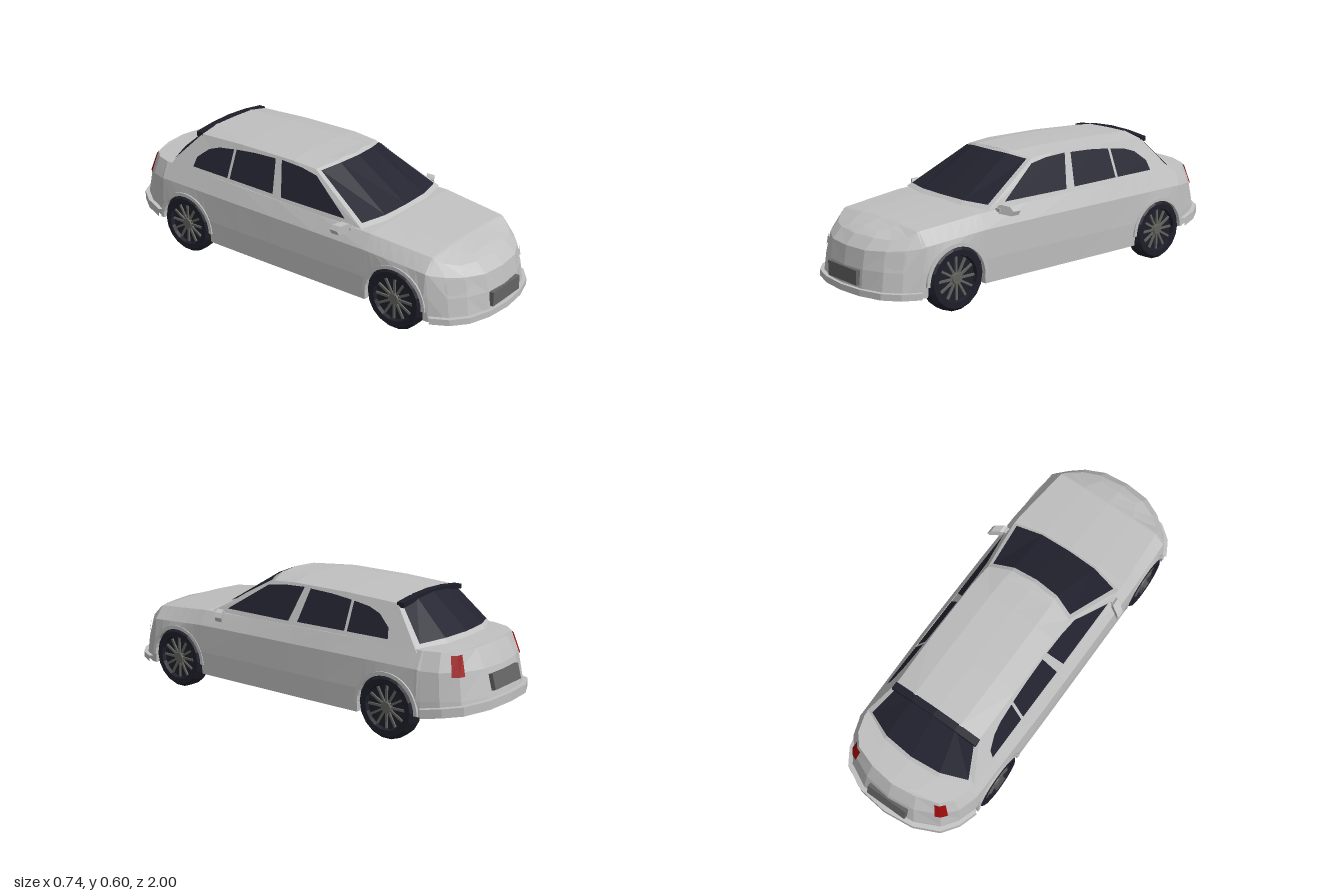
import * as THREE from 'three';

const mat = (name, color, side = THREE.FrontSide) => {
  const m = new THREE.MeshStandardMaterial({ color, side });
  m.name = name;
  return m;
};
const lerp = (a, b, t) => a.map((v, i) => v + (b[i] - v) * t);

// Interpolate rows [z, ...values] listed from front to rear
function at(table, z) {
  let i = 0;
  while (i < table.length - 2 && z < table[i + 1][0]) i++;
  const a = table[i], b = table[i + 1];
  const t = Math.min(1, Math.max(0, (a[0] - z) / (a[0] - b[0])));
  return lerp(a, b, t).slice(1);
}

// Faceted skin through columns of points (front to rear, bottom to top), mirrored across x
function skin(cols, mirror = true) {
  const pos = [];
  const tri = (a, b, c) => {
    pos.push(...a, ...b, ...c);
    if (mirror) for (const p of [a, c, b]) pos.push(-p[0], p[1], p[2]);
  };
  for (let i = 0; i < cols.length - 1; i++)
    for (let j = 0; j < cols[i].length - 1; j++) {
      const a = cols[i][j], b = cols[i + 1][j], c = cols[i + 1][j + 1], d = cols[i][j + 1];
      tri(a, b, c);
      tri(a, c, d);
    }
  const g = new THREE.BufferGeometry();
  g.setAttribute('position', new THREE.Float32BufferAttribute(pos, 3));
  g.computeVertexNormals();
  return g;
}
function faceted(geo) {
  const g = geo.index ? geo.toNonIndexed() : geo;
  g.computeVertexNormals();
  return g;
}

// Nose and tail columns: bottom, mid, belt and upper edge
const NOSE = [
  [[0, .09, .985], [0, .2, .975], [0, .28, .962], [0, .325, .92]],
  [[.12, .09, .973], [.12, .2, .964], [.12, .28, .95], [.12, .325, .905]],
  [[.22, .09, .94], [.215, .2, .925], [.21, .285, .905], [.2, .325, .87]],
  [[.285, .09, .885], [.28, .2, .87], [.27, .29, .85], [.248, .34, .825]],
  [[.325, .09, .81], [.325, .2, .80], [.315, .30, .795], [.27, .36, .79]],
];
const TAIL = [
  [[.325, .13, -.75], [.325, .2, -.75], [.32, .33, -.745], [.287, .41, -.74]],
  [[.30, .145, -.84], [.30, .21, -.83], [.295, .33, -.82], [.265, .41, -.81]],
  [[.25, .155, -.915], [.25, .21, -.905], [.24, .33, -.885], [.22, .41, -.86]],
  [[.14, .165, -.97], [.14, .215, -.96], [.13, .33, -.935], [.12, .415, -.895]],
  [[0, .17, -.987], [0, .215, -.977], [0, .33, -.95], [0, .415, -.91]],
];
// z, low x, mid x, belt x, belt y, edge x, edge y
const SIDE = [
  [.79, .328, .332, .322, .305, .272, .362],
  [.45, .33, .336, .336, .33, .298, .395],
  [-.2, .33, .336, .336, .335, .303, .41],
  [-.72, .326, .33, .325, .335, .29, .41],
];
const FLOOR = [[1, .09], [-.5, .09], [-.73, .13], [-1, .17]];
const DECK = [[.92, .325], [.87, .348], [.78, .373], [.45, .405], [-.2, .415], [-.74, .42], [-.91, .415]];
const AXLES = [.63, -.58], ARCH = .15, ARCH_Y = .135;

function sideColumn(z, yb) {
  const [xl, xm, xb, ybelt, xe, ye] = at(SIDE, z);
  return [[xl, yb, z], [xm, Math.max(.2, yb + .01), z], [xb, ybelt, z], [xe, ye, z]];
}
// Close a side column with floor, wheel-well wall and upper deck
function closeColumn(c) {
  const [x, y, z] = c[0], e = c[3];
  const xi = Math.min(x, .25), f = at(FLOOR, z)[0], top = at(DECK, e[2])[0];
  return [[0, f, z], [xi, f, z], [xi, y, z], ...c,
    [e[0] * .5, e[1] + (top - e[1]) * .75, e[2]], [0, top, e[2]]];
}
function bodyColumns() {
  const sides = [];
  for (const c of AXLES) {
    sides.push(sideColumn(c + ARCH + .002, .09));
    for (let k = 0; k <= 8; k++) {
      const a = k * Math.PI / 8;
      sides.push(sideColumn(c + ARCH * Math.cos(a), ARCH_Y + ARCH * Math.sin(a)));
    }
    const z = c - ARCH - .002;
    sides.push(sideColumn(z, at(FLOOR, z)[0]));
    if (c > 0) for (const m of [.2, -.05, -.25]) sides.push(sideColumn(m, .09));
  }
  return [...NOSE, ...sides, ...TAIL].map(closeColumn);
}

// Cabin columns: [base, top]
const CABIN = [
  [[0, .40, .47], [0, .592, .17]],
  [[.15, .40, .465], [.115, .59, .16]],
  [[.296, .40, .43], [.221, .572, .12]],
  [[.302, .40, 0], [.226, .582, 0]],
  [[.302, .40, -.3], [.226, .582, -.3]],
  [[.298, .40, -.71], [.222, .572, -.56]],
  [[.15, .41, -.775], [.115, .585, -.575]],
  [[0, .41, -.79], [0, .59, -.58]],
];
const cabinRoof = ([b, t]) => {
  const top = t[2] > .1 || t[2] < -.5 ? .594 : .6;
  return [b, t, [t[0] * .55, t[1] + (top - t[1]) * .9, t[2]], [0, top, t[2]]];
};
const cabinPatch = (cols, v0, v1, dz) => cols.map(([b, t]) =>
  [v0, v1].map(v => lerp(b, t, v)).map(([x, y, z]) => [x, y + .004, z + dz]));

// Point on the nose skin at given x and y
function nosePoint(x, y) {
  let i = 0;
  while (i < 3 && x > NOSE[i + 1][1][0]) i++;
  const a = NOSE[i], b = NOSE[i + 1], t = (x - a[1][0]) / (b[1][0] - a[1][0]);
  const z = lerp(lerp(a[1], b[1], t), lerp(a[2], b[2], t), (y - .2) / .087)[2];
  return [x + .001, y, z + .005];
}
const lipColumns = (cols, y0, y1) => cols.map(c => {
  const [x, , z] = c[0], h = c[0][1];
  const o = [x * 1.045, z * 1.013];
  return [[x * .95, h + y0, z * .97], [o[0], h + y0, o[1]], [o[0], h + y1, o[1]], [x * .95, h + y1, z * .97]];
});
const shape = pts => new THREE.Shape(pts.map(p => new THREE.Vector2(...p)));

export function createModel() {
  const car = new THREE.Group();
  car.name = 'car';
  const paint = mat('silver paint', 0xc0c0c0);
  const glass = mat('dark glass', 0x232330, THREE.DoubleSide);
  const rubber = mat('tyre rubber', 0x1e1e2a);
  const metal = mat('wheel metal', 0x62625e);
  const plate = mat('plate grey', 0x646464);
  const red = mat('tail light red', 0x9c0c0c, THREE.DoubleSide);
  const add = (name, geo, m, parent = car) => {
    const mesh = new THREE.Mesh(geo, m);
    mesh.name = name;
    parent.add(mesh);
    return mesh;
  };

  // Shell
  add('body', skin(bodyColumns()), paint);
  add('cabin', skin(CABIN.map(cabinRoof)), paint);
  add('frontLip', skin(lipColumns(NOSE, 0, .028)), paint);
  add('rearLip', skin(lipColumns(TAIL, 0, .04)), paint);

  // Windscreen and rear window
  const front = [CABIN[0], CABIN[1], CABIN[1].map((p, i) => lerp(p, CABIN[2][i], .88))];
  add('windscreen', skin(cabinPatch(front, .07, .95, .004)), glass);
  const rear = [CABIN[6].map((p, i) => lerp(p, CABIN[5][i], .84)), CABIN[6], CABIN[7]];
  add('rearWindow', skin(cabinPatch(rear, .13, .98, -.004)), glass);

  // Side windows as (z, y) outlines laid on the leaning cabin sides
  const windows = {
    frontWindow: [[.34, .422], [.14, .553], [.05, .567], [-.065, .572], [-.02, .422]],
    rearDoorWindow: [[-.07, .425], [-.10, .57], [-.22, .566], [-.33, .556], [-.33, .428]],
    quarterWindow: [[-.345, .428], [-.345, .554], [-.43, .543], [-.49, .523], [-.55, .475], [-.56, .43]],
  };
  for (const [name, pts] of Object.entries(windows))
    for (const s of [1, -1]) {
      const g = new THREE.ShapeGeometry(shape(pts)), p = g.attributes.position;
      for (let i = 0; i < p.count; i++) {
        const z = p.getX(i), y = p.getY(i);
        p.setXYZ(i, s * (.305 - (y - .40) * .42), y, z);
      }
      add(name, faceted(g), glass);
    }

  // Dark lip along the rear of the roof
  const lipX = [-.225, -.115, 0, .115, .225], lipY = [.578, .592, .597, .592, .578];
  const lipPts = [...lipX.map((x, i) => [x, lipY[i] - .022]),
    ...lipX.map((x, i) => [x, lipY[i]]).reverse()];
  const lip = new THREE.ExtrudeGeometry(shape(lipPts), { depth: .035, bevelEnabled: false });
  add('roofSpoiler', lip.translate(0, 0, -.593), rubber);

  // Headlights, tail lights and plates
  const lamp = [[.285, .235, .262], [.278, .217, .28], [.25, .213, .286], [.213, .231, .277], [.18, .25, .268]];
  add('headlights', skin(lamp.reverse().map(([x, a, b]) => [nosePoint(x, a), nosePoint(x, b)])), paint);
  const mixCol = (a, b, t) => a.map((p, i) => lerp(p, b[i], t));
  const tail = [mixCol(TAIL[1], TAIL[2], .6), TAIL[2], mixCol(TAIL[2], TAIL[3], .22)];
  add('tailLights', skin(tail.map(c => [lerp(c[2], c[1], .15), lerp(c[2], c[3], .85)]
    .map(([x, y, z]) => [x + .004, y, z - .004]))), red);
  add('frontPlate', new THREE.BoxGeometry(.21, .065, .02), plate).position.set(0, .163, .977);
  const rearPlate = add('rearPlate', new THREE.BoxGeometry(.21, .07, .02), plate);
  rearPlate.position.set(0, .272, -.963);
  rearPlate.rotation.x = .26;

  // Wing mirrors
  const mirrorShape = shape([[.312, .38], [.362, .373], [.37, .393], [.357, .413], [.32, .42], [.308, .412]]);
  for (const s of [1, -1]) {
    const g = new THREE.Group();
    g.name = s > 0 ? 'leftMirror' : 'rightMirror';
    g.scale.x = s;
    const housing = new THREE.ExtrudeGeometry(mirrorShape, { depth: .04, bevelEnabled: false });
    const p = housing.attributes.position;
    for (let i = 0; i < p.count; i++) p.setZ(i, p.getZ(i) + .35 - (p.getX(i) - .31) * .6);
    add('mirrorHousing', faceted(housing), paint, g);
    add('mirrorArm', new THREE.BoxGeometry(.04, .015, .03), paint, g).position.set(.3, .395, .375);
    car.add(g);
  }

  // Wheels and arch trims
  const tyre = faceted(new THREE.LatheGeometry([[0, 0], [.13, 0], [.143, .014], [.143, .062], [.128, .079],
    [.102, .078], [.098, .06], [0, .06]].map(p => new THREE.Vector2(...p)), 18));
  const trim = new THREE.Shape();
  trim.absarc(0, 0, ARCH + .014, 0, Math.PI, false);
  trim.absarc(0, 0, ARCH - .003, Math.PI, 0, true);
  const trimGeo = new THREE.ExtrudeGeometry(trim, { depth: .016, bevelEnabled: false, curveSegments: 8 });
  for (const z of AXLES)
    for (const s of [1, -1]) {
      const wheel = new THREE.Group();
      wheel.name = (z > 0 ? 'front' : 'rear') + (s > 0 ? 'Left' : 'Right') + 'Wheel';
      wheel.position.set(s * .259, .142, z);
      wheel.rotation.z = -s * Math.PI / 2;
      add('tyre', tyre, rubber, wheel);
      add('hub', new THREE.CylinderGeometry(.024, .03, .014, 12), metal, wheel).position.y = .066;
      for (let k = 0; k < 12; k++) {
        const a = k * Math.PI / 6;
        const spoke = add('spoke', new THREE.BoxGeometry(.07, .008, .01), metal, wheel);
        spoke.position.set(.06 * Math.cos(a), .064, .06 * Math.sin(a));
        spoke.rotation.y = -a;
      }
      car.add(wheel);
      const arch = add('archTrim', trimGeo, paint);
      arch.position.set(s > 0 ? .323 : -.339, ARCH_Y, z);
      arch.rotation.y = Math.PI / 2;
      arch.position.x = s > 0 ? .322 : -.338;
    }
  return car;
}
